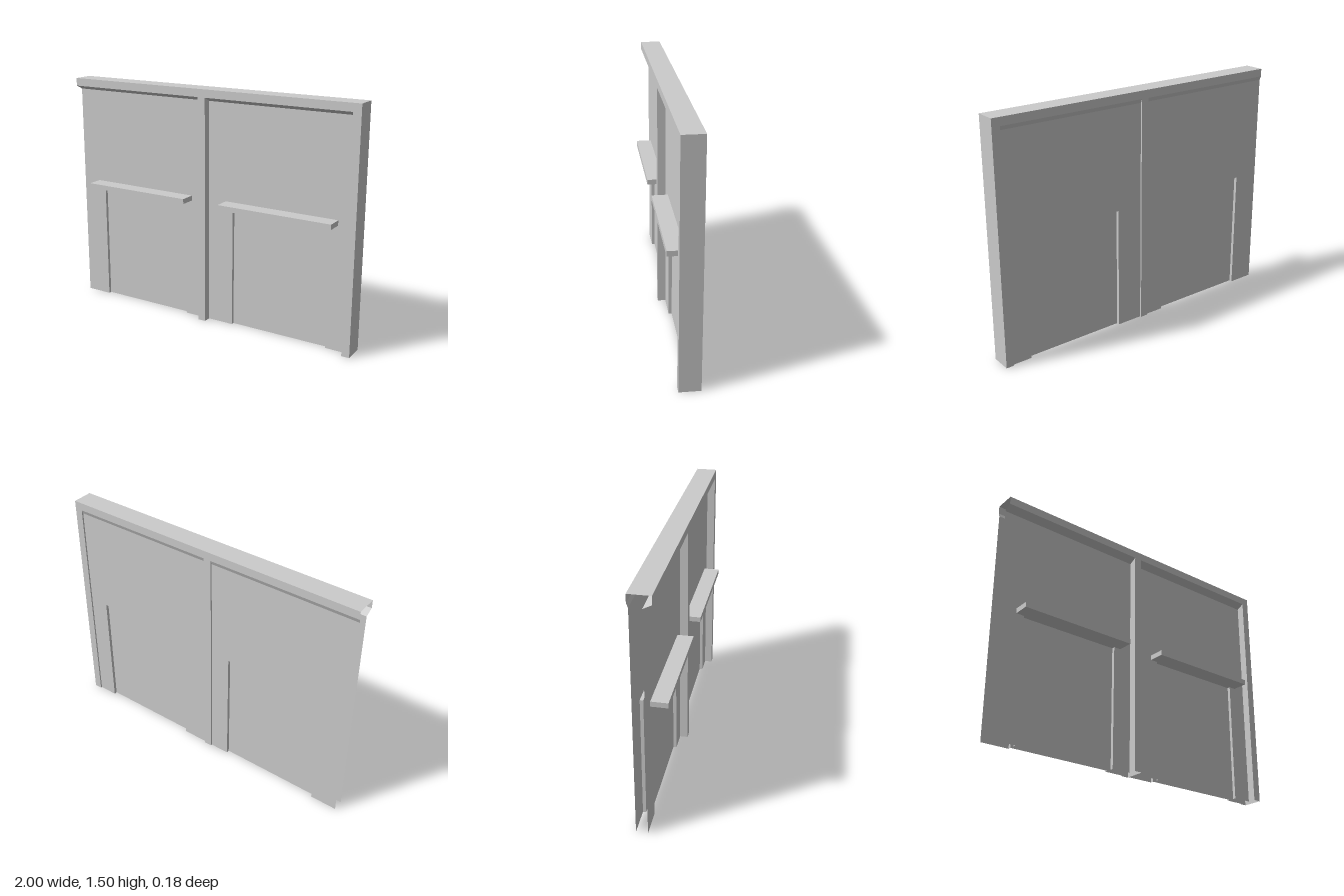
import * as THREE from 'three';

const FRONT = 0.04, BACK = -0.09;     // outer faces of posts and beam
const TOP = 1.5, BEAM = 1.45, WALL_TOP = 1.425;
const POST = 0.05, DOOR_TOP = 0.78;
const DOOR_L = 0.172, DOOR_R = 0.825; // door edges inside one bay
const RECESS = 0.02;

const material = new THREE.MeshStandardMaterial({ color: 0xcccccc, side: THREE.DoubleSide });

function addMesh(parent, name, geometry) {
  const mesh = new THREE.Mesh(geometry, material);
  mesh.name = name;
  parent.add(mesh);
  return mesh;
}

// Sweeps a path of [x, y, z] points along an offset into flat thin panels.
function strip(path, [dx, dy, dz]) {
  const pos = [];
  for (let i = 0; i < path.length - 1; i++) {
    const a = path[i], b = path[i + 1];
    const c = [b[0] + dx, b[1] + dy, b[2] + dz];
    const d = [a[0] + dx, a[1] + dy, a[2] + dz];
    pos.push(...a, ...b, ...c, ...a, ...c, ...d);
  }
  const g = new THREE.BufferGeometry();
  g.setAttribute('position', new THREE.Float32BufferAttribute(pos, 3));
  g.computeVertexNormals();
  return g;
}

// One skin of a bay: wall notched for the door, reveal, door panel, sloped cornice.
// facing is +1 for the front skin and -1 for the back skin.
function createSkin(side, facing, wallZ, outerZ) {
  const skin = new THREE.Group();
  skin.name = side + 'Skin';
  const right = 1 - POST;
  const shape = new THREE.Shape([
    [0, 0], [DOOR_L, 0], [DOOR_L, DOOR_TOP], [DOOR_R, DOOR_TOP],
    [DOOR_R, 0], [right, 0], [right, WALL_TOP], [0, WALL_TOP],
  ].map(([x, y]) => new THREE.Vector2(x, y)));
  const wall = new THREE.ShapeGeometry(shape);
  if (facing < 0) {
    // Reverse the faces so that the skin points outward at the back.
    const index = wall.index.array;
    for (let i = 0; i < index.length; i += 3) [index[i], index[i + 1]] = [index[i + 1], index[i]];
    wall.computeVertexNormals();
  }
  addMesh(skin, side + 'Wall', wall).position.z = wallZ;

  const doorZ = wallZ - facing * RECESS;
  addMesh(skin, side + 'DoorReveal', strip([
    [DOOR_L, 0, wallZ], [DOOR_L, DOOR_TOP, wallZ],
    [DOOR_R, DOOR_TOP, wallZ], [DOOR_R, 0, wallZ],
  ], [0, 0, doorZ - wallZ]));
  addMesh(skin, side + 'DoorPanel',
    strip([[DOOR_L, 0, doorZ], [DOOR_R, 0, doorZ]], [0, DOOR_TOP, 0]));
  addMesh(skin, side + 'Cornice',
    strip([[0, WALL_TOP, wallZ], [0, BEAM, outerZ]], [right, 0, 0]));
  return skin;
}

function createBay() {
  const bay = new THREE.Group();
  bay.name = 'bay';
  const wallFront = -0.01, wallBack = -0.08;
  bay.add(createSkin('front', 1, wallFront, FRONT));
  bay.add(createSkin('back', -1, wallBack, BACK));

  // Hollow post at the bay's end
  const x = 1 - POST;
  addMesh(bay, 'post', strip([
    [x, 0, wallFront], [x, 0, FRONT], [1, 0, FRONT],
    [1, 0, BACK], [x, 0, BACK], [x, 0, wallBack],
  ], [0, BEAM, 0]));

  // Ledge over the door
  const ledge = addMesh(bay, 'doorLedge', new THREE.BoxGeometry(0.75, 0.032, 0.1));
  ledge.position.set(0.497, 0.796, 0.04);
  return bay;
}

export function createModel() {
  const group = new THREE.Group();
  group.name = 'twoBayWall';

  for (const x of [-1, 0]) {
    const bay = createBay();
    bay.position.x = x;
    group.add(bay);
  }

  // Top beam, open below and at one end
  addMesh(group, 'topBeam', strip([
    [-1, BEAM, FRONT], [-1, TOP, FRONT], [-1, TOP, BACK], [-1, BEAM, BACK],
  ], [2, 0, 0]));
  addMesh(group, 'beamEnd',
    strip([[1, BEAM, FRONT], [1, BEAM, BACK]], [0, TOP - BEAM, 0]));

  return group;
}
